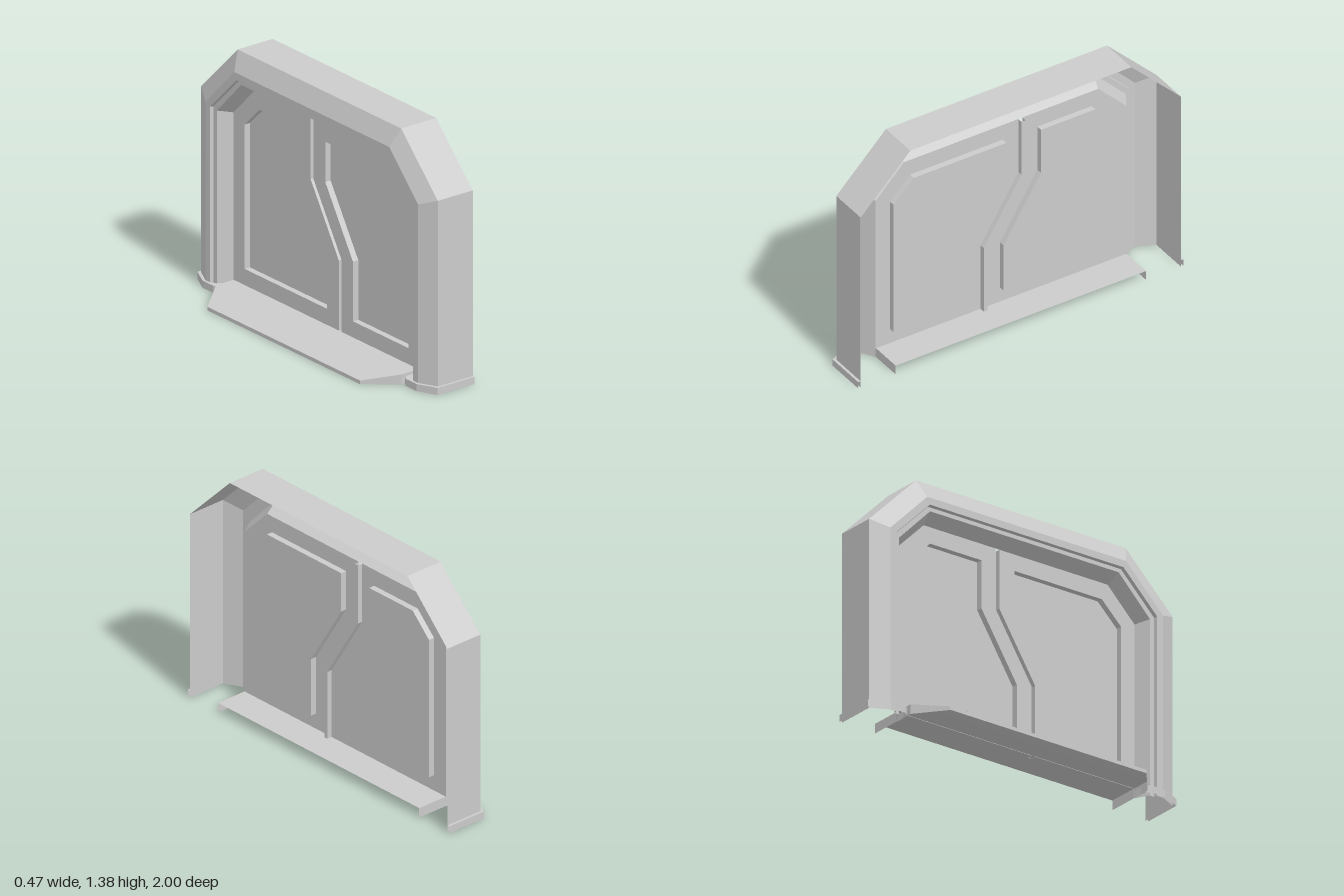
import * as THREE from 'three';

const material = new THREE.MeshStandardMaterial({ color: 0xcccccc, flatShading: true, side: THREE.DoubleSide });

// Ruled strip joining successive rows of [x, y, z] points
function strip(name, rows, closed = false) {
  const pos = [];
  for (let r = 0; r < rows.length - 1; r++) {
    const a = rows[r], b = rows[r + 1], n = a.length;
    for (let i = 0; i < (closed ? n : n - 1); i++) {
      const j = (i + 1) % n;
      pos.push(...a[i], ...b[i], ...b[j], ...a[i], ...b[j], ...a[j]);
    }
  }
  const geo = new THREE.BufferGeometry();
  geo.setAttribute('position', new THREE.Float32BufferAttribute(pos, 3));
  geo.computeVertexNormals();
  const mesh = new THREE.Mesh(geo, material);
  mesh.name = name;
  return mesh;
}

// Flat sheet in the plane x = const, outlined by [z, y] points
function sheet(name, x, outline, hole) {
  const toVec = (pts) => pts.map(([z, y]) => new THREE.Vector2(-z, y));
  const shape = new THREE.Shape(toVec(outline));
  if (hole) shape.holes.push(new THREE.Path(toVec(hole)));
  const geo = new THREE.ShapeGeometry(shape);
  geo.rotateY(Math.PI / 2);
  geo.translate(x, 0, 0);
  const mesh = new THREE.Mesh(geo, material);
  mesh.name = name;
  return mesh;
}

const at = (x, pts) => pts.map(([z, y]) => [x, y, z]);

export function createModel() {
  const model = new THREE.Group();
  const doorX = 0.045, panelX = 0.08;

  // Arched frame: each ring is x, half width, shoulder height, half top width, top height
  const rings = [
    [0.23, 0.985, 1.075, 0.68, 1.38],
    [0.0, 0.985, 1.075, 0.68, 1.38],
    [-0.05, 0.885, 1.035, 0.645, 1.278],
    [-0.05, 0.846, 1.02, 0.628, 1.238],
    [-0.03, 0.842, 1.018, 0.626, 1.234],
    [-0.03, 0.815, 1.003, 0.612, 1.212],
    [doorX, 0.772, 0.988, 0.597, 1.165],
  ];
  model.add(strip('archFrame', rings.map(([x, w, s, t, h]) =>
    at(x, [[w, 0], [w, s], [t, h], [-t, h], [-t, s === 0 ? 0 : h], [-w, s], [-w, 0]]))));

  // Feet wrapped round both frame posts
  const footOuter = [[0.23, 1], [-0.012, 1], [-0.065, 0.89], [-0.065, 0.8], [-0.048, 0.775], [0.045, 0.762]];
  const footInner = [[0.23, 0.985], [0, 0.985], [-0.05, 0.885], [-0.05, 0.846], [-0.03, 0.815], [0.045, 0.772]];
  for (const [side, sz] of [['left', 1], ['right', -1]]) {
    const row = (pts, y) => pts.map(([x, z]) => [x, y, z * sz]);
    model.add(strip(side + 'Foot', [row(footOuter, 0), row(footOuter, 0.04), row(footInner, 0.04)]));
  }

  // Door leaves with recessed panels, parted by a zigzag seam
  const seamA = [[-0.105, 1.165], [-0.105, 0.83], [0.127, 0.457], [0.127, 0.053]];
  const seamB = [[-0.13, 1.165], [-0.13, 0.823], [0.104, 0.447], [0.104, 0.053]];
  const leaves = [
    {
      name: 'firstLeaf',
      outline: [[0.772, 0.053], [0.772, 0.988], [0.597, 1.165], ...seamA],
      panel: [[0.685, 0.145], [0.685, 0.95], [0.56, 1.072], [-0.008, 1.072], [-0.008, 0.847], [0.222, 0.477], [0.222, 0.145]],
    },
    {
      name: 'secondLeaf',
      outline: [[-0.772, 0.053], [-0.772, 0.988], [-0.597, 1.165], ...seamB],
      panel: [[-0.68, 0.145], [-0.68, 0.95], [-0.555, 1.072], [-0.222, 1.072], [-0.222, 0.8], [0.008, 0.43], [0.008, 0.145]],
    },
  ];
  for (const { name, outline, panel } of leaves) {
    const leaf = new THREE.Group();
    leaf.name = name;
    leaf.add(
      sheet('leafFace', doorX, outline, panel),
      strip('panelWalls', [at(doorX, panel), at(panelX, panel)], true),
      sheet('panelFace', panelX, panel));
    model.add(leaf);
  }
  model.add(strip('seamChannel', [at(doorX, seamA), at(0.075, seamA), at(0.075, seamB), at(doorX, seamB)]));

  // Sill: hollow plate with a ramp and a skirt, open at the back
  const edge = (y0, y1, y2) => [[0.23, y0, 0.77], [-0.07, y1, 0.77], [-0.235, y2, 0.635]];
  const around = (pts) => [...pts, ...pts.map(([x, y, z]) => [x, y, -z]).reverse()];
  const rim = edge(0.055, 0.055, 0.02);
  model.add(
    strip('sillTop', [rim, rim.map(([x, y, z]) => [x, y, -z])]),
    strip('sillSkirt', [around(rim), around(edge(0, 0, 0))]));

  return model;
}
